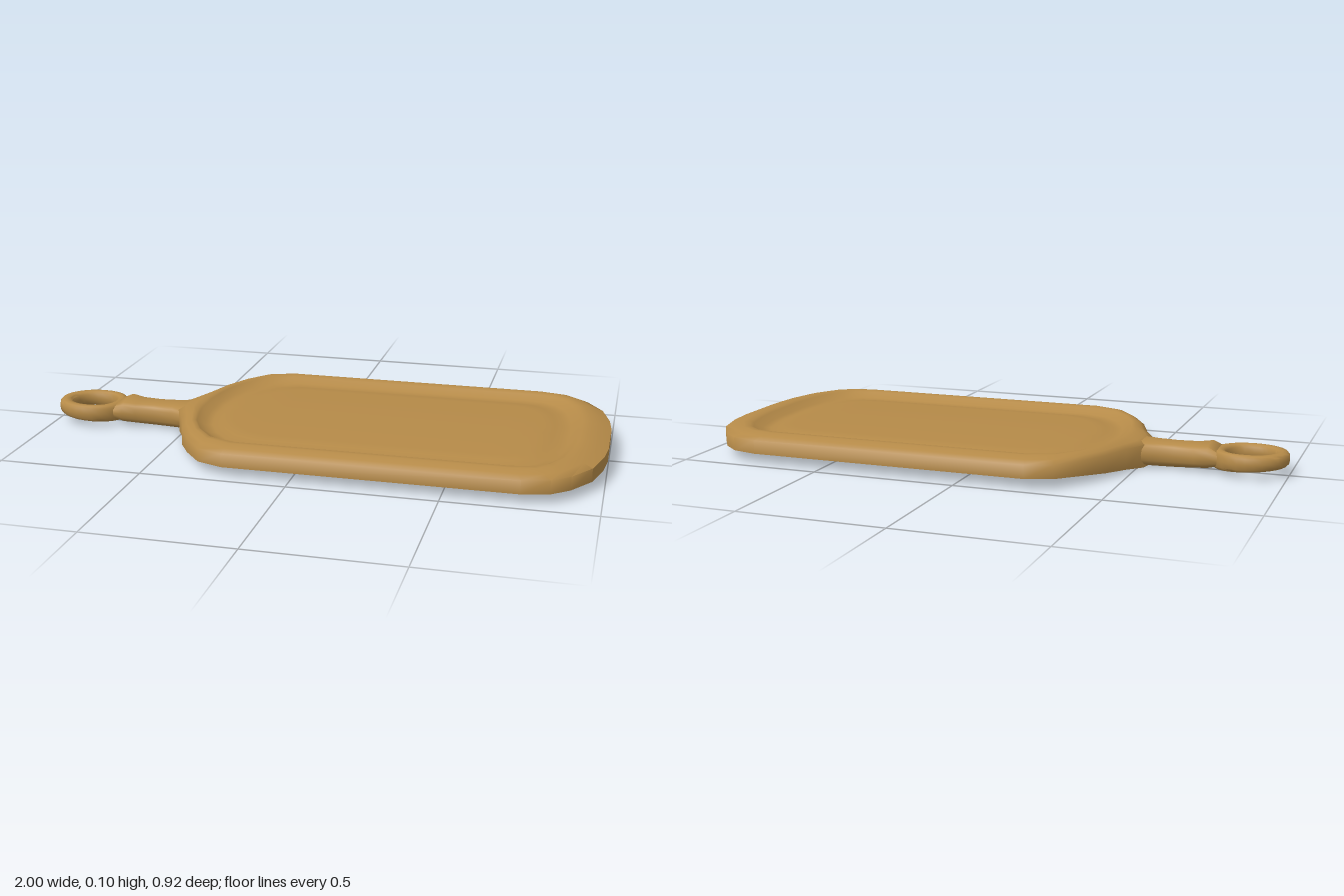
import * as THREE from 'three';
import { toCreasedNormals } from 'three/addons/utils/BufferGeometryUtils.js';

// Half outlines (x, z) from the neck to the far end: board edge and rim's inner edge
const EDGE = [[-0.53, 0], [-0.52, 0.06], [-0.48, 0.14], [-0.44, 0.25], [-0.39, 0.34], [-0.32, 0.43], [-0.23, 0.462],
  [0.75, 0.462], [0.84, 0.44], [0.9, 0.39], [0.96, 0.3], [0.99, 0.19], [1, 0.1], [1, 0]];
const RIM = [[-0.43, 0], [-0.43, 0.05], [-0.42, 0.12], [-0.4, 0.2], [-0.36, 0.28], [-0.3, 0.35], [-0.21, 0.385],
  [0.7, 0.385], [0.77, 0.375], [0.82, 0.34], [0.86, 0.27], [0.88, 0.18], [0.89, 0.1], [0.89, 0]];

// Skin a list of equal closed loops of [x, y, z] points
function skin(loops, { wrap = false, capStart = false, capEnd = false } = {}) {
  const n = loops[0].length, index = [];
  const quad = (a, b, c, d) => index.push(a, b, c, a, c, d);
  const rows = wrap ? loops.length : loops.length - 1;
  for (let r = 0; r < rows; r++) {
    const a = r * n, b = ((r + 1) % loops.length) * n;
    for (let i = 0; i < n; i++) {
      const j = (i + 1) % n;
      quad(a + i, a + j, b + j, b + i);
    }
  }
  // Caps are strips running across the loop
  const cap = (o, flip) => {
    for (let i = 0; i < n / 2; i++) {
      const q = [o + i, o + i + 1, o + (n - i - 1), o + ((n - i) % n)];
      quad(...(flip ? q.reverse() : q));
    }
  };
  if (capStart) cap(0, true);
  if (capEnd) cap((loops.length - 1) * n, false);
  const g = new THREE.BufferGeometry();
  g.setAttribute('position', new THREE.Float32BufferAttribute(loops.flat(2), 3));
  g.setIndex(index);
  return toCreasedNormals(g, 1.2);
}

// Mirror a half outline into a closed loop, with height given by a rule
function mirrored(half, height) {
  const front = half.map(([x, z]) => [x, height(x, z), z]);
  const back = front.slice(1, -1).reverse().map(([x, y, z]) => [x, y, -z]);
  return [...front, ...back];
}

function boardGeometry() {
  const loops = [];
  // Flat underside dipping towards the neck
  loops.push(mirrored(EDGE, (x, z) =>
    x > -0.25 ? 0.033 : 0.033 * THREE.MathUtils.clamp((z - 0.06) / 0.33, 0, 1)));
  // Side and rounded rim: [blend from edge to rim, height]
  for (const [t, y] of [[0, 0.079], [0.3, 0.091], [0.65, 0.1], [0.88, 0.1], [1, 0.095]]) {
    const half = EDGE.map(([x, z], i) => [x + (RIM[i][0] - x) * t, z + (RIM[i][1] - z) * t]);
    loops.push(mirrored(half, () => y));
  }
  // Juice groove and raised cutting floor: [inset, height]
  for (const [d, y] of [[0.025, 0.077], [0.05, 0.073], [0.08, 0.081], [0.12, 0.084]]) {
    const half = RIM.map(([x, z]) => [0.23 + (x - 0.23) * (1 - d / 0.66), z * (1 - d / 0.385)]);
    loops.push(mirrored(half, () => y));
  }
  return skin(loops, { capStart: true, capEnd: true });
}

const soft = (v, p) => Math.sign(v) * Math.abs(v) ** p;

function neckGeometry() {
  // Sections: [x, half width, bottom, top]
  const sections = [[-0.45, 0.1, 0.02, 0.09], [-0.5, 0.08, 0.003, 0.089], [-0.55, 0.06, 0, 0.088],
    [-0.62, 0.054, 0.001, 0.087], [-0.69, 0.062, 0.005, 0.088], [-0.735, 0.075, 0.01, 0.094], [-0.775, 0.07, 0.02, 0.076]];
  const loops = sections.map(([x, w, lo, hi]) => Array.from({ length: 20 }, (_, i) => {
    const a = i / 20 * Math.PI * 2;
    return [x, (lo + hi) / 2 + soft(Math.sin(a), 0.7) * (hi - lo) / 2, w * soft(Math.cos(a), 0.7)];
  }));
  return skin(loops, { capStart: true, capEnd: true });
}

function ringGeometry() {
  const loops = [];
  for (let r = 0; r < 28; r++) {
    const a = r / 28 * Math.PI * 2, c = Math.cos(a), s = Math.sin(a);
    const outer = [-0.87 + 0.13 * c, 0.111 * s];
    // The hole is flattened on the neck side
    const inner = [-0.87 + 0.08 * (c > 0 ? c ** 0.6 : c), 0.068 * s];
    const lo = 0.021 - 0.009 * c, hi = 0.08;
    loops.push(Array.from({ length: 12 }, (_, i) => {
      const b = i / 12 * Math.PI * 2, t = 0.5 + 0.5 * soft(Math.cos(b), 0.7);
      return [inner[0] + (outer[0] - inner[0]) * t,
        (lo + hi) / 2 + soft(Math.sin(b), 0.7) * (hi - lo) / 2,
        inner[1] + (outer[1] - inner[1]) * t];
    }));
  }
  return skin(loops, { wrap: true });
}

export function createModel() {
  const wood = new THREE.MeshStandardMaterial({ color: 0xb58a48 });
  wood.name = 'wood';
  const model = new THREE.Group();
  model.name = 'servingBoard';
  const add = (name, geometry) => {
    const mesh = new THREE.Mesh(geometry, wood);
    mesh.name = name;
    model.add(mesh);
  };
  add('board', boardGeometry());
  add('handleNeck', neckGeometry());
  add('hangingRing', ringGeometry());
  return model;
}
